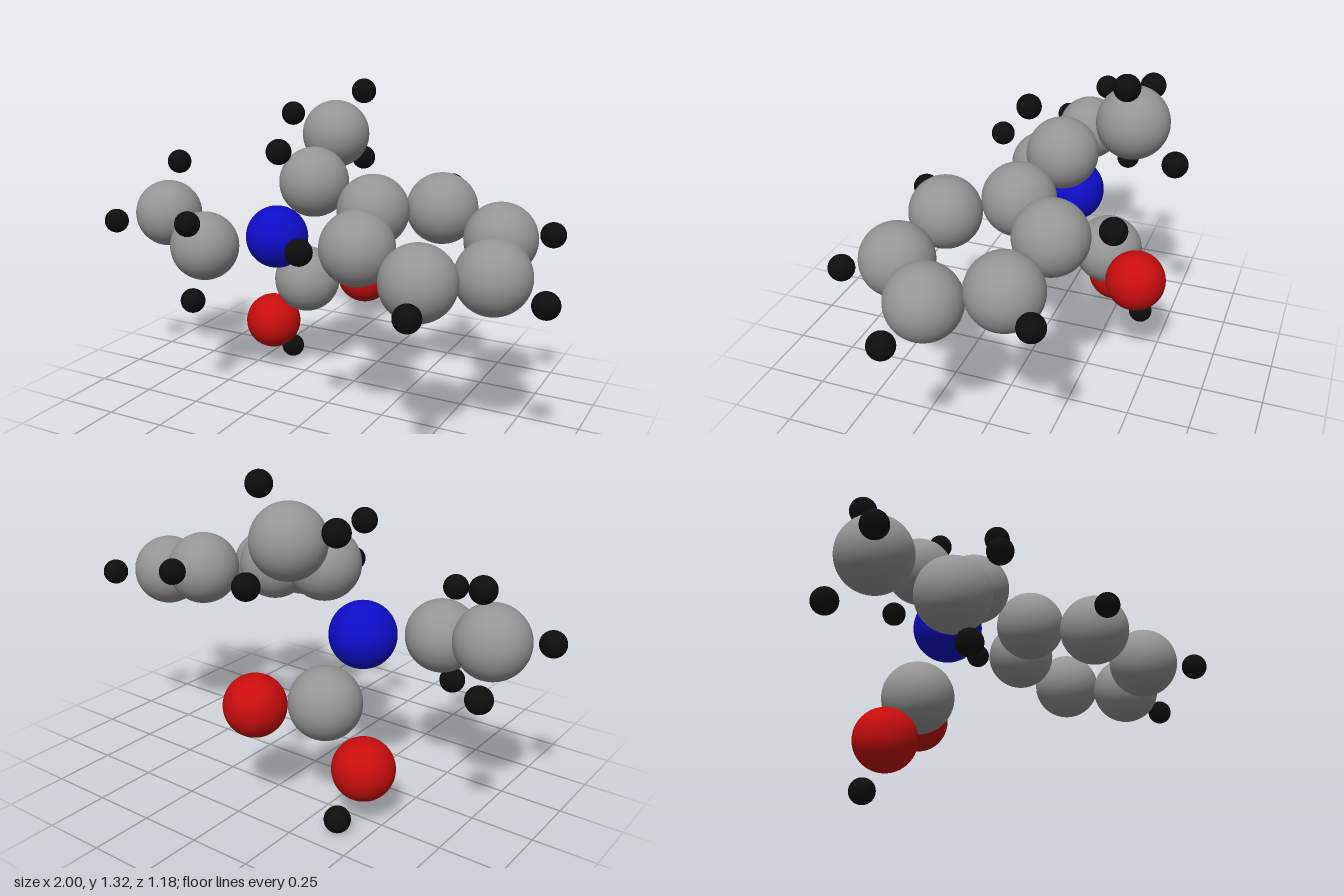
import * as THREE from 'three';

// Each kind of atom: radius, colour and centre positions [x, y, z]
const ATOMS = {
  carbon: {
    radius: 0.143, color: 0x959595,
    at: [
      // ethyl arm
      [-0.785, 0.74, 0], [-0.51, 0.66, 0.13],
      // upper arm
      [-0.11, 0.93, -0.09], [-0.15, 1.085, -0.36],
      // acid group
      [-0.24, 0.445, -0.26],
      // six-sided ring
      [0.19, 0.86, -0.02], [0.4, 0.85, -0.22], [0.67, 0.775, -0.15],
      [0.735, 0.71, 0.125], [0.53, 0.717, 0.33], [0.257, 0.787, 0.257],
    ],
  },
  nitrogen: { radius: 0.132, color: 0x0d0dc8, at: [[-0.285, 0.677, -0.08]] },
  oxygen: {
    radius: 0.122, color: 0xc80d0d,
    at: [[-0.04, 0.445, -0.433], [-0.415, 0.22, -0.255]],
  },
  hydrogen: {
    radius: 0.051, color: 0x0d0d0d,
    at: [
      // around the ethyl arm
      [-0.777, 0.955, -0.08], [-0.835, 0.593, -0.178], [-0.949, 0.72, 0.157],
      [-0.465, 0.8, 0.307], [-0.518, 0.444, 0.217],
      // around the upper arm
      [-0.372, 1.155, -0.38], [-0.02, 1.275, -0.362], [-0.105, 0.955, -0.543],
      [-0.178, 1.075, 0.077],
      // around the ring
      [0.1, 0.79, 0.413], [0.58, 0.663, 0.54], [0.946, 0.656, 0.182],
      [0.832, 0.773, -0.305], [0.359, 0.895, -0.436],
      // on the acid group
      [-0.388, 0.055, -0.384],
    ],
  },
};

export function createModel() {
  const model = new THREE.Group();
  model.name = 'molecule';
  for (const [kind, { radius, color, at }] of Object.entries(ATOMS)) {
    const group = new THREE.Group();
    group.name = `${kind}Atoms`;
    const geometry = new THREE.SphereGeometry(radius, 48, 32);
    const material = new THREE.MeshStandardMaterial({ color });
    at.forEach((position, i) => {
      const atom = new THREE.Mesh(geometry, material);
      atom.name = `${kind}${i + 1}`;
      atom.position.set(...position);
      group.add(atom);
    });
    model.add(group);
  }
  return model;
}
